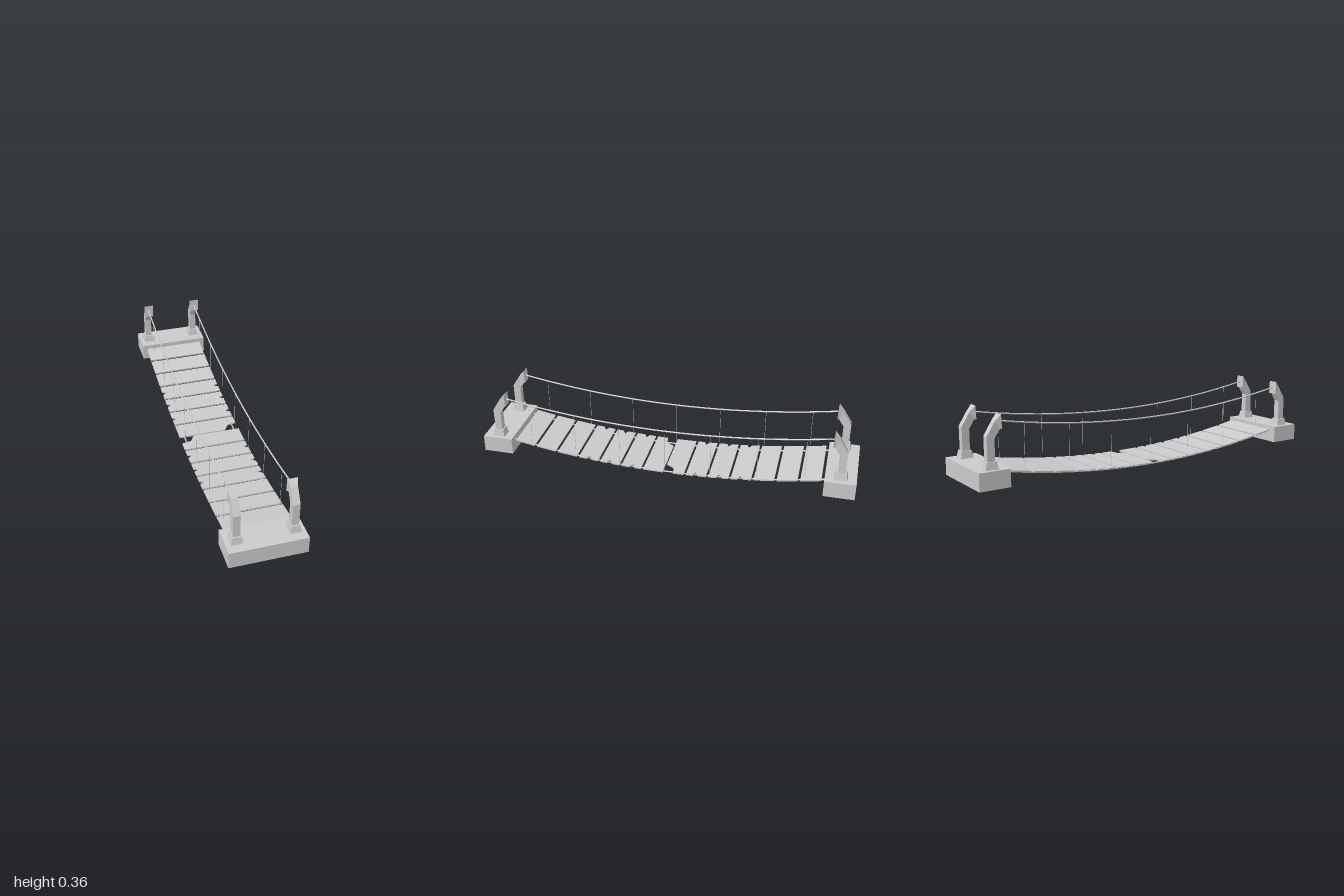
import * as THREE from 'three';

const material = new THREE.MeshStandardMaterial({ color: 0xcccccc, flatShading: true, side: THREE.DoubleSide });

const ROPE_X = 0.14, CENTER_X = -0.0035;
const deckY = z => 0.005 + 0.115 * z * z;
const railY = z => 0.254 + 0.104 * z * z;

function mesh(name, geometry, parent) {
  const m = new THREE.Mesh(geometry, material);
  m.name = name;
  parent.add(m);
  return m;
}

// Four-sided loft; each ring is [halfWidth, outerZ, outerY, innerZ, innerY]
function loft(rings) {
  const corners = rings.map(([w, zo, yo, zi, yi]) =>
    [[-w, yo, zo], [w, yo, zo], [w, yi, zi], [-w, yi, zi]]);
  const pos = [];
  const quad = (a, b, c, d) => pos.push(...a, ...b, ...c, ...a, ...c, ...d);
  for (let r = 0; r < corners.length - 1; r++) {
    for (let i = 0; i < 4; i++) {
      const j = (i + 1) % 4;
      quad(corners[r][i], corners[r][j], corners[r + 1][j], corners[r + 1][i]);
    }
  }
  quad(...corners[corners.length - 1]);
  const g = new THREE.BufferGeometry();
  g.setAttribute('position', new THREE.Float32BufferAttribute(pos, 3));
  g.computeVertexNormals();
  return g;
}

// Rope following a height rule along z
function rope(x, end, height) {
  const points = [];
  for (let i = 0; i <= 12; i++) {
    const z = end * (i / 6 - 1);
    points.push(new THREE.Vector3(x, height(z), z));
  }
  return new THREE.TubeGeometry(new THREE.CatmullRomCurve3(points), 24, 0.004, 6);
}

// Plank outline: plain, notched at both ends, or with a broken corner
function plank(kind, notchZ) {
  const w = 0.1655, h = 0.0535;
  let outline;
  if (kind === 'broken') {
    outline = [[-0.09, -h], [w, -h], [w, h], [-w, h], [-w, -0.003], [-0.116, -0.012]];
  } else if (kind === 'notched') {
    const n = 0.026, s = 0.012;
    outline = [[-w, -h], [w, -h], [w, notchZ - s], [w - n, notchZ], [w - 0.006, notchZ + s], [w, notchZ + s + 0.003],
      [w, h], [-w, h], [-w, notchZ + s + 0.003], [-w + 0.006, notchZ + s], [-w + n, notchZ], [-w, notchZ - s]];
  } else {
    outline = [[-w, -h], [w, -h], [w, h], [-w, h]];
  }
  const shape = new THREE.Shape(outline.map(p => new THREE.Vector2(...p)));
  return new THREE.ExtrudeGeometry(shape, { depth: 0.008, bevelEnabled: false })
    .rotateX(Math.PI / 2).translate(0, 0.004, 0);
}

// Anchor slab, hollow and open underneath, with two bent posts
function anchorage() {
  const g = new THREE.Group();
  const slab = loft([
    [0.1925, 1, 0.021, 0.839, 0.021],
    [0.1925, 1, 0.11, 0.839, 0.11],
  ]);
  mesh('anchorSlab', slab, g).position.x = -0.002;
  for (const side of [-1, 1]) {
    const post = new THREE.Group();
    post.name = 'post';
    post.position.x = side * ROPE_X;
    mesh('postFoot', loft([
      [0.029, 0.954, 0.11, 0.887, 0.11],
      [0.022, 0.946, 0.147, 0.895, 0.147],
    ]), post);
    mesh('postColumn', loft([
      [0.0175, 0.94, 0.14, 0.901, 0.14],
      [0.0175, 0.94, 0.267, 0.901, 0.253],
      [0.0175, 0.896, 0.336, 0.874, 0.295],
      [0.026, 0.868, 0.366, 0.865, 0.297],
    ]), post);
    g.add(post);
  }
  return g;
}

export function createModel() {
  const model = new THREE.Group();
  model.name = 'ropeBridge';

  // Anchorages at both ends
  for (const [name, turn] of [['frontAnchorage', 0], ['backAnchorage', Math.PI]]) {
    const a = anchorage();
    a.name = name;
    a.rotation.y = turn;
    model.add(a);
  }

  // Deck planks, the back half turned half a revolution
  const deck = new THREE.Group();
  deck.name = 'deck';
  deck.position.x = CENTER_X;
  model.add(deck);
  const notches = [0, -0.005, 0.002, -0.004];
  for (const turn of [0, Math.PI]) {
    const half = new THREE.Group();
    half.name = 'deckHalf';
    half.rotation.y = turn;
    deck.add(half);
    for (let i = 0; i < 7; i++) {
      const z = 0.057 + 0.1192 * i;
      const kind = i === 0 ? 'broken' : i < 4 ? 'notched' : 'plain';
      const p = mesh('plank', plank(kind, notches[i] ?? 0), half);
      p.position.set(0, deckY(z) + 0.009, z);
      p.rotation.x = -Math.atan(0.23 * z);
    }
  }

  // Handrail ropes, deck ropes and hanging cords on each side
  for (const side of [-1, 1]) {
    const x = side * ROPE_X;
    mesh('handrailRope', rope(x, 0.87, railY), model);
    mesh('deckRope', rope(x, 0.85, deckY), model);
    for (let i = -3; i <= 3; i++) {
      const z = i * 0.246;
      const low = deckY(z), high = railY(z);
      const cord = new THREE.CylinderGeometry(0.001, 0.001, high - low, 4);
      mesh('hangerCord', cord, model).position.set(x, (low + high) / 2, z);
    }
  }
  return model;
}
